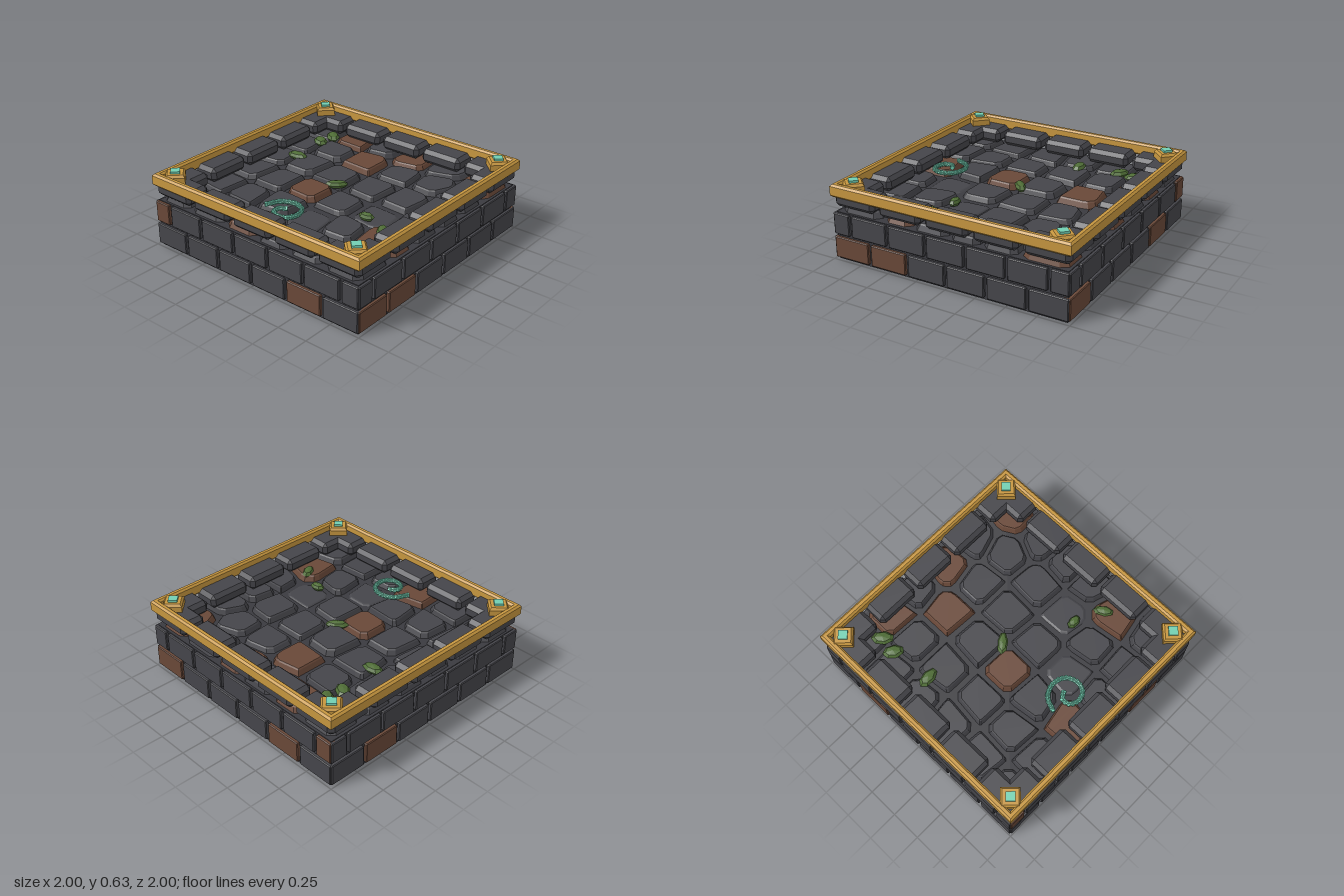
import * as THREE from 'three';
import { mergeGeometries } from 'three/addons/utils/BufferGeometryUtils.js';
import { ConvexGeometry } from 'three/addons/geometries/ConvexGeometry.js';

const V = (x, y, z) => new THREE.Vector3(x, y, z);

const material = (name, color) => {
  const m = new THREE.MeshStandardMaterial({ color });
  m.name = name;
  return m;
};

// Box with all edges cut by c
function chamferBox(w, h, d, c) {
  const pts = [];
  for (const sx of [-1, 1]) for (const sy of [-1, 1]) for (const sz of [-1, 1]) {
    const x = w / 2, y = h / 2, z = d / 2;
    pts.push(V(sx * x, sy * (y - c), sz * (z - c)),
      V(sx * (x - c), sy * y, sz * (z - c)),
      V(sx * (x - c), sy * (y - c), sz * z));
  }
  return new ConvexGeometry(pts);
}

function faceted(geometry) {
  const g = geometry.index ? geometry.toNonIndexed() : geometry;
  g.computeVertexNormals();
  return g;
}

// Voronoi cell of seed i, cut from a square of half size s
function cell(seeds, i, s) {
  let poly = [[-s, -s], [s, -s], [s, s], [-s, s]];
  const [px, pz] = seeds[i];
  seeds.forEach(([qx, qz], j) => {
    if (j === i) return;
    const side = ([x, z]) => (x - (px + qx) / 2) * (qx - px) + (z - (pz + qz) / 2) * (qz - pz);
    const out = [];
    poly.forEach((a, k) => {
      const b = poly[(k + 1) % poly.length], da = side(a), db = side(b);
      if (da <= 0) out.push(a);
      if (da * db < 0) {
        const t = da / (da - db);
        out.push([a[0] + (b[0] - a[0]) * t, a[1] + (b[1] - a[1]) * t]);
      }
    });
    poly = out;
  });
  return poly;
}

// Bevelled paving stone with cut corners
function pavingStone(poly, y, height) {
  const n = poly.length;
  const cut = poly.flatMap((a, k) => [poly[(k + n - 1) % n], poly[(k + 1) % n]].map(
    (b) => [a[0] + (b[0] - a[0]) * 0.16, a[1] + (b[1] - a[1]) * 0.16]));
  const cx = cut.reduce((t, p) => t + p[0], 0) / cut.length;
  const cz = cut.reduce((t, p) => t + p[1], 0) / cut.length;
  const pts = [];
  for (const [scale, up] of [[0.9, 0], [0.8, 0.8], [0.75, 1]]) {
    for (const [x, z] of cut) pts.push(V(cx + (x - cx) * scale, y + up * height, cz + (z - cz) * scale));
  }
  return new ConvexGeometry(pts);
}

export function createModel() {
  const group = new THREE.Group();
  group.name = 'dungeonFloorTile';
  const stone = material('dark stone', 0x45454a);
  const mortar = material('mortar', 0x3a3a3f);
  const brown = material('brown stone', 0x694838);
  const gold = material('gold', 0xc6963f);
  const teal = material('teal', 0x72cfb2);
  const moss = material('moss', 0x4f6d36);

  const add = (name, geometry, mat, parent = group) => {
    const mesh = new THREE.Mesh(geometry, mat);
    mesh.name = name;
    parent.add(mesh);
    return mesh;
  };

  add('core', new THREE.BoxGeometry(1.94, 0.385, 1.94), mortar).position.y = 0.1925;

  // Four brick walls; bricks counted left to right, brown ones listed per row
  const walls = [
    ['frontWall', 0, [4], [0]],
    ['rightWall', Math.PI / 2, [0, 1], []],
    ['backWall', Math.PI, [0, 4], [6]],
    ['leftWall', -Math.PI / 2, [1], []],
  ];
  for (const [name, turn, ...brownRows] of walls) {
    const wall = new THREE.Group();
    wall.name = name;
    wall.rotation.y = turn;
    group.add(wall);
    for (let row = 0; row < 2; row++) {
      for (let i = 0; i < 6 + row; i++) {
        const start = -1 + (i - row / 2) / 3;
        const a = Math.max(start + 0.0125, -0.985);
        const b = Math.min(start + 1 / 3 - 0.0125, 0.985);
        const brick = add('brick', chamferBox(b - a, 0.168, 0.06, 0.006),
          brownRows[row].includes(i) ? brown : stone, wall);
        brick.position.set((a + b) / 2, row ? 0.295 : 0.103, 0.965);
      }
    }
    // Raised rim blocks along this side
    for (let i = -2; i <= 2; i++) {
      add('rimBlock', chamferBox(0.36, 0.115, 0.215, 0.03), stone, wall).position.set(i * 0.4, 0.4875, 0.88);
    }
  }

  // Irregular paving, one stone per seed
  const seeds = [
    [-.80, -.80], [-.47, -.80], [-.18, -.84], [.14, -.78], [.45, -.80], [.82, -.72],
    [-.80, -.50], [-.48, -.53], [-.13, -.53], [.19, -.53], [.53, -.56], [.83, -.42],
    [-.80, -.17], [-.48, -.20], [-.15, -.17], [.19, -.18], [.50, -.16], [.82, -.12],
    [-.76, .13], [-.48, .16], [-.16, .16], [.16, .17], [.48, .16], [.82, .12],
    [-.78, .48], [-.49, .50], [-.18, .46], [.15, .50], [.43, .46], [.73, .42],
    [-.82, .80], [-.51, .80], [-.12, .78], [.17, .80], [.45, .80], [.80, .78],
  ];
  const brownStones = [1, 3, 5, 8, 20, 29, 32], lowStones = [22, 27];
  seeds.forEach((_, i) => {
    const height = lowStones.includes(i) ? 0.015 : 0.045 + 0.006 * ((i * 7) % 3);
    add('pavingStone', pavingStone(cell(seeds, i, 0.97), 0.38, height),
      brownStones.includes(i) ? brown : stone);
  });

  // Gold frame with bevelled edges
  const square = (Kind, s) => new Kind([[-s, -s], [s, -s], [s, s], [-s, s]].map(([x, y]) => new THREE.Vector2(x, y)));
  const ring = square(THREE.Shape, 0.985);
  ring.holes.push(square(THREE.Path, 0.96));
  const frame = new THREE.ExtrudeGeometry(ring, {
    depth: 0.07, bevelEnabled: true, bevelSize: 0.015, bevelThickness: 0.015, bevelSegments: 1,
  });
  frame.rotateX(-Math.PI / 2);
  add('goldFrame', frame, gold).position.y = 0.52;

  // Corner plates and gems
  for (const x of [-0.875, 0.875]) for (const z of [-0.875, 0.875]) {
    add('cornerPlate', faceted(new THREE.CylinderGeometry(0.085, 0.105, 0.02, 4)), gold).position.set(x, 0.602, z);
    add('cornerPlateBase', faceted(new THREE.CylinderGeometry(0.105, 0.105, 0.06, 4)), gold).position.set(x, 0.562, z);
    add('cornerGem', faceted(new THREE.CylinderGeometry(0.05, 0.05, 0.03, 4)), teal).position.set(x, 0.615, z);
  }

  // Moss clumps: x, z, half length, half width, turn
  const clumps = [
    [-.65, -.71, .09, .055, -.8], [-.67, -.57, .085, .055, -.6], [-.63, -.23, .09, .05, .1],
    [-.04, -.02, .095, .042, .7], [.47, .25, .065, .04, .1], [.695, .355, .085, .045, -1],
  ];
  for (const [x, z, length, width, turn] of clumps) {
    const clump = add('mossClump', faceted(new THREE.SphereGeometry(1, 7, 4)), moss);
    clump.scale.set(length, 0.032, width);
    clump.rotation.y = turn;
    clump.position.set(x, 0.432, z);
  }

  // Spiral rune made of small links
  const path = new THREE.CatmullRomCurve3([
    [-.17, .63], [-.12, .53], [-.02, .487], [.08, .52], [.12, .61], [.09, .69],
    [.02, .715], [-.05, .68], [-.055, .62], [-.01, .59],
  ].map(([x, z]) => V(x, 0.475, z)));
  const links = [];
  for (let i = 0; i <= 54; i++) {
    const p = path.getPointAt(i / 54), t = path.getTangentAt(i / 54);
    const link = new THREE.BoxGeometry(0.024, 0.03, 0.026);
    link.rotateX(i * 0.8);
    link.rotateY(Math.atan2(-t.z, t.x));
    link.translate(p.x, p.y, p.z);
    links.push(link);
  }
  add('spiralRune', mergeGeometries(links), teal);

  return group;
}
